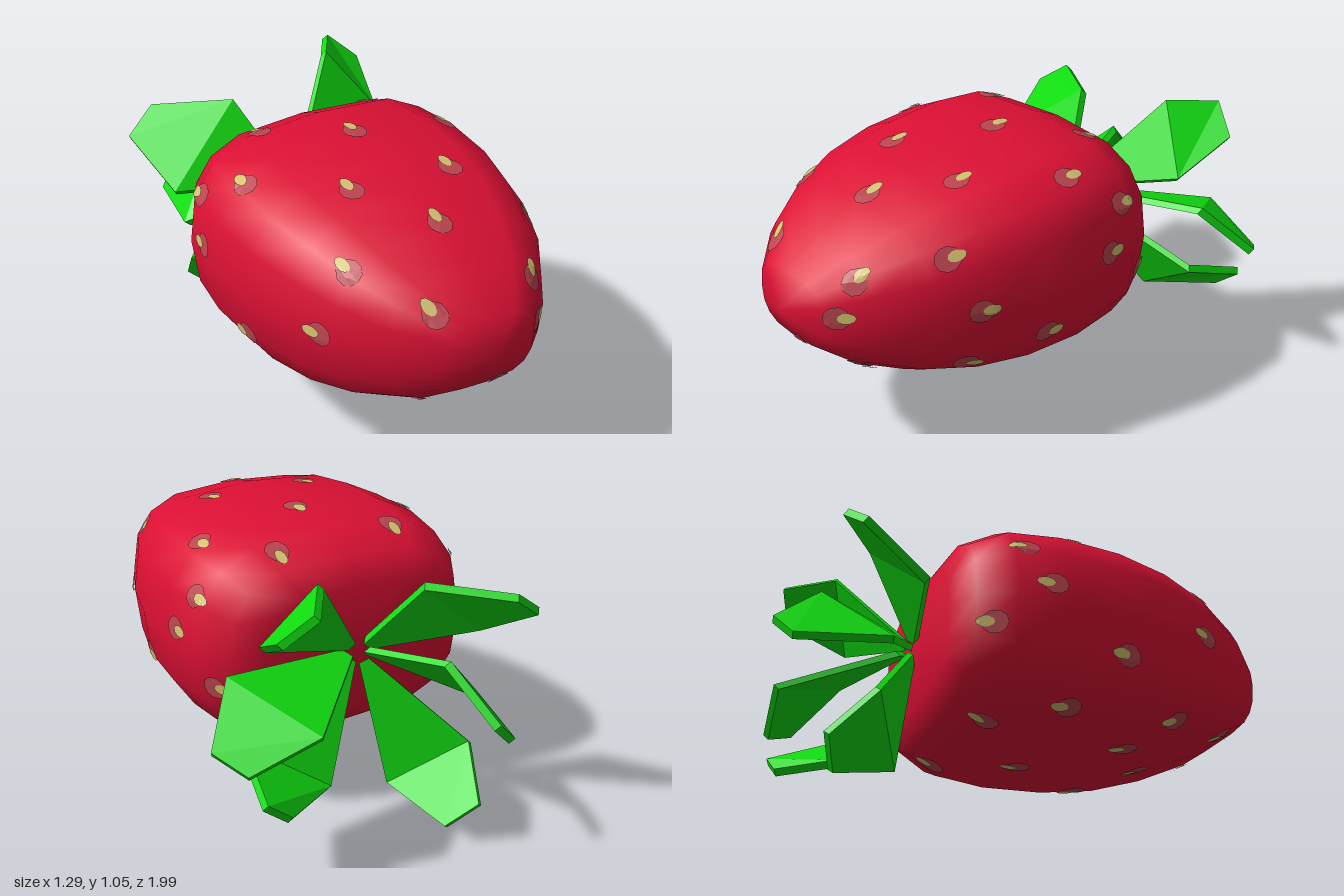
import * as THREE from 'three';
import { mergeGeometries } from 'three/addons/utils/BufferGeometryUtils.js';

const V = (x, y, z) => new THREE.Vector3(x, y, z);
const CX = -0.075, CY = 0.635, SIDES = 16;

// Rounded-box cross-sections stacked along z: [z, half width, half height]
const RINGS = [
  [-0.39, 0.36, 0.235], [-0.33, 0.48, 0.33], [-0.2, 0.55, 0.39], [0, 0.572, 0.405],
  [0.24, 0.56, 0.393], [0.45, 0.51, 0.363], [0.64, 0.435, 0.305], [0.81, 0.32, 0.23], [0.94, 0.185, 0.13],
];
const power = (v, e) => Math.sign(v) * Math.pow(Math.abs(v), e);

function fruitGeometry() {
  const pos = [], idx = [];
  for (const [z, w, h] of RINGS) {
    for (let j = 0; j < SIDES; j++) {
      const a = (j / SIDES) * Math.PI * 2;
      pos.push(CX + w * power(Math.cos(a), 0.6), CY + h * power(Math.sin(a), 0.78), z);
    }
  }
  const back = RINGS.length * SIDES, front = back + 1;
  pos.push(CX, CY, -0.41, CX, CY, 1);
  const last = (RINGS.length - 1) * SIDES;
  for (let j = 0; j < SIDES; j++) {
    const k = (j + 1) % SIDES;
    for (let i = 0; i < last; i += SIDES) {
      idx.push(i + j, i + k, i + SIDES + j, i + k, i + SIDES + k, i + SIDES + j);
    }
    idx.push(back, k, j, front, last + j, last + k);
  }
  const g = new THREE.BufferGeometry();
  g.setAttribute('position', new THREE.Float32BufferAttribute(pos, 3));
  g.setIndex(idx);
  g.computeVertexNormals();
  return g;
}

// Thick leaf folded across its middle: base, two mid corners, two end corners
function leafGeometry(m1, e1, e2, m2) {
  const base = V(-0.08, 0.63, -0.4);
  const pts = [m1, e1, e2, m2].map((p) => V(...p));
  const ring = [base.clone().lerp(pts[0], 0.12), ...pts, base.clone().lerp(pts[3], 0.12)];
  const n = pts[2].clone().sub(pts[0]).cross(pts[3].clone().sub(pts[1])).normalize().multiplyScalar(0.015);
  const top = ring.map((p) => p.clone().add(n)), bot = ring.map((p) => p.clone().sub(n));
  const out = [];
  for (const [a, b, c] of [[0, 1, 4], [0, 4, 5], [1, 2, 3], [1, 3, 4]]) {
    out.push(top[a], top[b], top[c], bot[a], bot[c], bot[b]);
  }
  for (let i = 0; i < 6; i++) {
    const j = (i + 1) % 6;
    out.push(top[i], bot[i], bot[j], top[i], bot[j], top[j]);
  }
  const g = new THREE.BufferGeometry().setFromPoints(out);
  g.computeVertexNormals();
  return g;
}

const LEAVES = [
  [[-0.43, 0.27, -0.64], [-0.38, 0.1, -0.8], [-0.27, 0.01, -0.75], [-0.17, 0.09, -0.5]],
  [[0.15, 0.22, -0.62], [0.39, 0.25, -0.79], [0.49, 0.33, -0.8], [0.45, 0.42, -0.55]],
  [[0.29, 0.56, -0.83], [0.55, 0.46, -0.8], [0.635, 0.52, -0.69], [0.5, 0.7, -0.53]],
  [[0.37, 0.78, -0.54], [0.42, 0.9, -0.77], [0.31, 1.0, -0.82], [0.2, 1.02, -0.64]],
  [[-0.22, 0.93, -0.62], [-0.49, 0.9, -0.8], [-0.61, 0.81, -0.76], [-0.54, 0.66, -0.51]],
  [[-0.21, 0.71, -0.8], [-0.3, 0.53, -0.99], [-0.4, 0.43, -0.94], [-0.46, 0.45, -0.6]],
];

// Seed places seen along one axis: front (x, y), top and bottom (x, z), sides (z, y)
const FRONT = [
  [-0.43, 0.89], [-0.26, 0.815], [-0.06, 0.96], [-0.54, 0.655], [0.175, 0.81], [0.34, 0.85], [0.165, 0.665],
  [0.43, 0.645], [-0.03, 0.475], [0.13, 0.41], [0.36, 0.41], [-0.24, 0.395], [-0.43, 0.335], [-0.05, 0.285],
];
const TOP = [[-0.32, -0.24], [0.16, -0.27], [-0.51, 0.01], [-0.05, -0.01], [0.34, -0.01], [-0.25, 0.305], [0.14, 0.33]];
const BOTTOM = [[-0.32, -0.24], [0.16, -0.27], [-0.48, 0.01], [-0.05, -0.01], [0.33, 0], [-0.27, 0.33], [0.2, 0.33]];
const SIDE = [[0.19, 0.47], [-0.1, 0.69], [-0.3, 0.53], [-0.19, 0.84]];

export function createModel() {
  const model = new THREE.Group();
  const mat = (name, color, extra) => {
    const m = new THREE.MeshStandardMaterial({ color, ...extra });
    m.name = name;
    return m;
  };
  const red = mat('fruit red', 0xdc1034);
  const green = mat('leaf green', 0x10dc10);
  const tan = mat('seed tan', 0xd2c070);
  const pink = mat('dimple pink', 0xbc4450);
  const add = (name, geometry, material) => {
    const mesh = new THREE.Mesh(geometry, material);
    mesh.name = name;
    model.add(mesh);
    return mesh;
  };

  const fruit = add('fruit', fruitGeometry(), red);

  // Leaf crown
  const crown = new THREE.Group();
  crown.name = 'leafCrown';
  for (const l of LEAVES) {
    const leaf = new THREE.Mesh(leafGeometry(...l), green);
    leaf.name = 'leaf';
    crown.add(leaf);
  }
  model.add(crown);

  // Oval patches laid on the fruit surface
  const ray = new THREE.Raycaster();
  const cast = (from, dir) => {
    ray.set(from, dir);
    return ray.intersectObject(fruit)[0];
  };
  const patch = (centre, n, along, ra, rb, lift) => {
    const across = n.clone().cross(along);
    const place = (a, r) => {
      const q = centre.clone().addScaledVector(along, Math.cos(a) * ra * r).addScaledVector(across, Math.sin(a) * rb * r);
      const hit = cast(q.clone().addScaledVector(n, 0.2), n.clone().negate());
      return (hit ? hit.point : q).clone().addScaledVector(n, lift);
    };
    const pts = [], mid = place(0, 0), N = 10;
    for (let i = 0; i < N; i++) {
      const a = (i / N) * Math.PI * 2, b = ((i + 1) / N) * Math.PI * 2;
      const p = place(a, 0.5), q = place(b, 0.5), s = place(a, 1), t = place(b, 1);
      pts.push(mid, p, q, p, s, t, p, t, q);
    }
    const g = new THREE.BufferGeometry().setFromPoints(pts);
    g.computeVertexNormals();
    return g;
  };
  const seeds = [], dimples = [];
  const spot = (from, dir) => {
    const hit = cast(from, dir);
    if (!hit) return;
    const n = hit.face.normal.clone();
    const along = V(0, 0, 1).addScaledVector(n, -n.z).normalize();
    seeds.push(patch(hit.point, n, along, 0.036, 0.021, 0.009));
    dimples.push(patch(hit.point.clone().addScaledVector(along, 0.035), n, along, 0.05, 0.045, 0.005));
  };
  FRONT.forEach(([x, y]) => spot(V(x, y, 3), V(0, 0, -1)));
  TOP.forEach(([x, z]) => spot(V(x, 3, z), V(0, -1, 0)));
  BOTTOM.forEach(([x, z]) => spot(V(x, -3, z), V(0, 1, 0)));
  for (const s of [1, -1]) SIDE.forEach(([z, y]) => spot(V(3 * s, y, z), V(-s, 0, 0)));
  add('seeds', mergeGeometries(seeds), tan);
  add('seedDimples', mergeGeometries(dimples), pink);

  return model;
}
